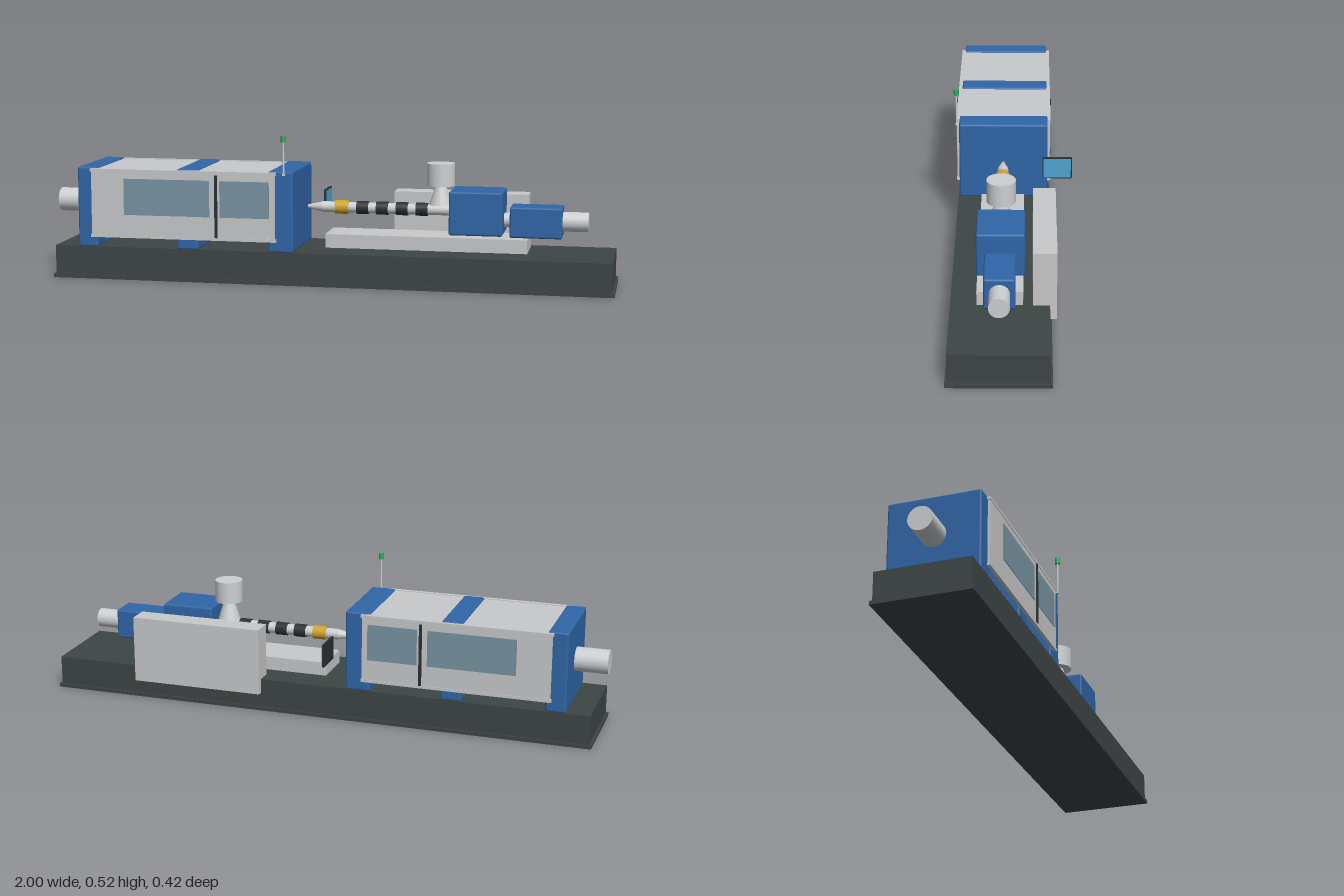
import * as THREE from 'three';
import { RoundedBoxGeometry } from 'three/addons/geometries/RoundedBoxGeometry.js';

const mat = (name, color) => {
  const m = new THREE.MeshStandardMaterial({ color });
  m.name = name;
  return m;
};

export function createModel() {
  const model = new THREE.Group();
  model.name = 'injectionMouldingMachine';
  const blue = mat('machineBlue', 0x2f66a8);
  const grey = mat('panelGrey', 0xc8c9ca);
  const dark = mat('baseCharcoal', 0x3e4545);
  const steel = mat('steel', 0xcdcfd1);
  const gold = mat('brass', 0xd0a52c);
  const black = mat('heaterBlack', 0x2c3032);
  const green = mat('beaconGreen', 0x2fae66);
  const screenBlue = mat('screenBlue', 0x4fa6d2);
  const glass = mat('windowGlass', 0x7894a2);
  const ZC = 0.036; // machine centre line

  const add = (name, geometry, material, parent = model) => {
    const mesh = new THREE.Mesh(geometry, material);
    mesh.name = name;
    parent.add(mesh);
    return mesh;
  };
  // Box given by its extents; a radius rounds its edges
  const box = (name, material, [x0, x1], [y0, y1], [z0, z1], radius = 0, parent = model) => {
    const s = [x1 - x0, y1 - y0, z1 - z0];
    const g = radius ? new RoundedBoxGeometry(...s, 3, radius) : new THREE.BoxGeometry(...s);
    const mesh = add(name, g, material, parent);
    mesh.position.set((x0 + x1) / 2, (y0 + y1) / 2, (z0 + z1) / 2);
    return mesh;
  };
  // Round bar along x, r0 at x0 and r1 at x1
  const bar = (name, material, x0, x1, y, z, r0, r1 = r0, parent = model) => {
    const g = new THREE.CylinderGeometry(r0, r1, x1 - x0, 32).rotateZ(Math.PI / 2);
    const mesh = add(name, g, material, parent);
    mesh.position.set((x0 + x1) / 2, y, z);
    return mesh;
  };
  const post = (name, material, x, [y0, y1], z, rBottom, rTop = rBottom, parent = model) => {
    const mesh = add(name, new THREE.CylinderGeometry(rTop, rBottom, y1 - y0, 32), material, parent);
    mesh.position.set(x, (y0 + y1) / 2, z);
    return mesh;
  };

  // Base and skirt
  box('base', dark, [-0.97, 0.988], [0, 0.115], [-0.126, 0.198]);
  box('baseSkirt', dark, [-0.978, 0.996], [0, 0.013], [-0.133, 0.205]);

  // Clamping unit: three platens, tie bars and rear cylinder
  const platens = [['rearPlaten', -0.885, -0.815], ['movingPlaten', -0.523, -0.449], ['fixedPlaten', -0.195, -0.108]];
  for (const [name, x0, x1] of platens) box(name, blue, [x0, x1], [0.113, 0.397], [-0.123, 0.194], 0.007);
  for (const y of [0.18, 0.335])
    for (const side of [-1, 1]) bar('tieBar', steel, -0.85, -0.15, y, ZC + side * 0.1, 0.016);
  bar('clampCylinder', steel, -1, -0.88, 0.258, ZC, 0.042);
  box('roofPanel', grey, [-0.83, -0.17], [0.38, 0.391], [-0.13, 0.202]);

  // Safety guards, the same on both sides
  for (const side of [1, -1]) {
    const guard = new THREE.Group();
    guard.name = side > 0 ? 'frontGuard' : 'backGuard';
    guard.position.z = ZC;
    model.add(guard);
    const part = (name, material, xs, ys, a, b) =>
      box(name, material, xs, ys, side > 0 ? [a, b] : [-b, -a], 0, guard);
    part('guardPanel', grey, [-0.832, -0.17], [0.155, 0.387], 0.159, 0.168);
    part('topRail', grey, [-0.836, -0.166], [0.383, 0.393], 0.155, 0.17);
    part('bottomRail', grey, [-0.836, -0.166], [0.15, 0.16], 0.159, 0.17);
    part('largeWindow', glass, [-0.713, -0.403], [0.232, 0.36], 0.166, 0.17);
    part('smallWindow', glass, [-0.366, -0.19], [0.232, 0.36], 0.166, 0.17);
    part('doorHandle', black, [-0.384, -0.374], [0.16, 0.38], 0.166, 0.173);
  }

  // Signal beacon
  box('beaconBracket', steel, [-0.143, -0.133], [0.384, 0.39], [0.19, 0.207]);
  post('beaconPole', steel, -0.138, [0.386, 0.502], 0.203, 0.003);
  post('beaconLight', green, -0.138, [0.5, 0.522], 0.203, 0.009);

  // Control panel, facing the injection side
  box('controlPanel', black, [-0.059, -0.051], [0.215, 0.296], [-0.21, -0.105]);
  box('controlScreen', screenBlue, [-0.052, -0.049], [0.219, 0.292], [-0.206, -0.109]);

  // Sled and electrical cabinet
  box('injectionSled', grey, [-0.01, 0.694], [0.123, 0.171], [-0.039, 0.112]);
  box('electricalCabinet', grey, [0.205, 0.682], [0.065, 0.303], [-0.148, -0.07]);

  // Barrel with nozzle and heater bands
  const BY = 0.257;
  bar('nozzleTip', steel, -0.087, -0.035, BY, ZC, 0.006, 0.018);
  bar('barrel', steel, -0.035, 0.43, BY, ZC, 0.019);
  bar('nozzleCollar', gold, 0.012, 0.06, BY, ZC, 0.024);
  for (let i = 0; i < 4; i++) bar('heaterBand', black, 0.089 + i * 0.07, 0.131 + i * 0.07, BY, ZC, 0.023);

  // Hopper
  post('hopperThroat', steel, 0.385, [0.275, 0.345], ZC, 0.04, 0.018);
  post('hopper', steel, 0.385, [0.343, 0.421], ZC, 0.049);

  // Injection drive
  box('injectionHousing', blue, [0.423, 0.608], [0.18, 0.332], [-0.044, 0.115], 0.007);
  bar('driveCoupling', steel, 0.6, 0.64, 0.228, ZC, 0.025);
  box('driveHousing', blue, [0.63, 0.81], [0.173, 0.28], [-0.014, 0.087], 0.007);
  bar('driveMotor', steel, 0.805, 0.898, 0.228, ZC, 0.034);

  // Centre the depth of the whole machine
  return model;
}
